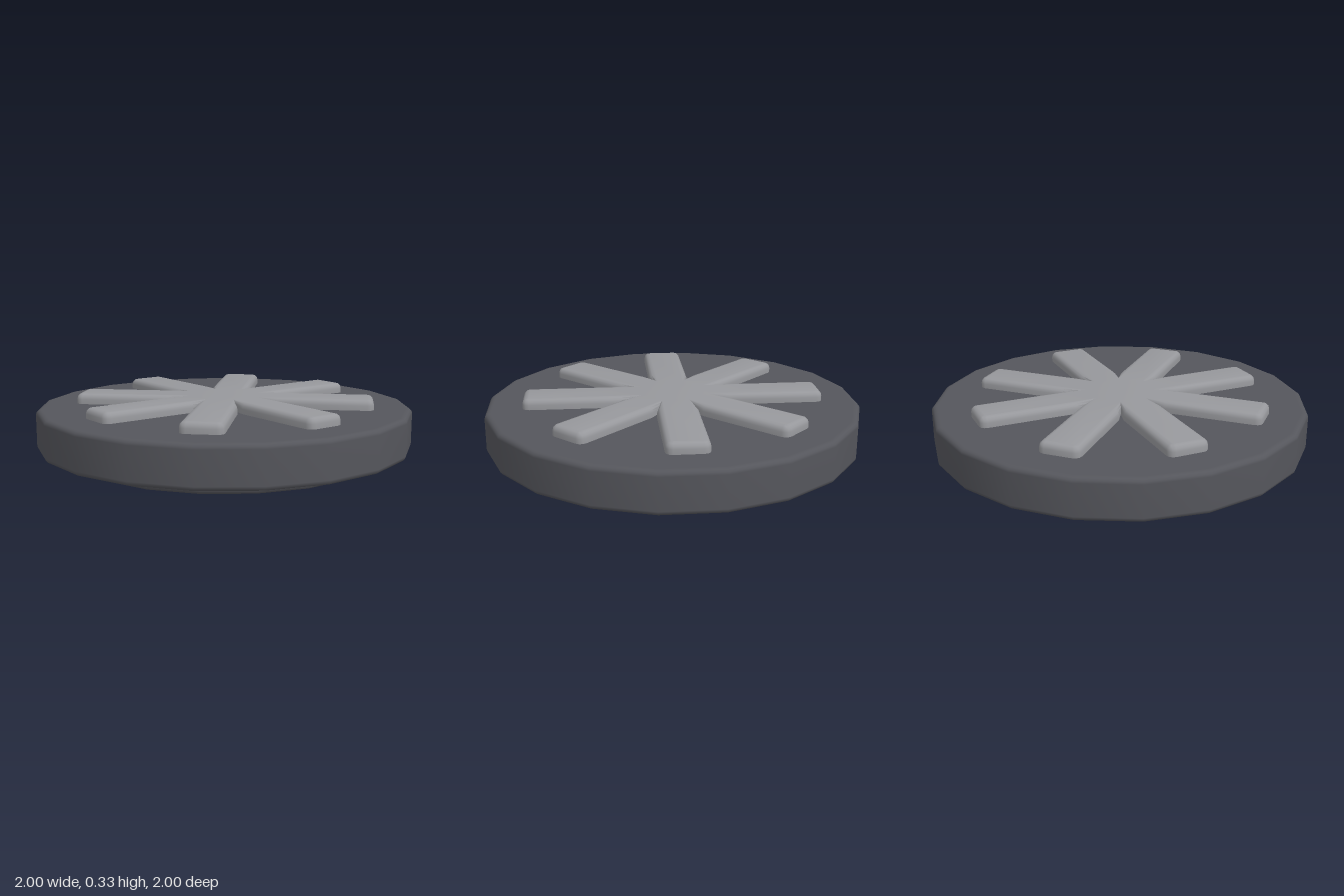
import * as THREE from 'three';
import { toCreasedNormals } from 'three/addons/utils/BufferGeometryUtils.js';

const SIDES = 20;
const dark = new THREE.MeshStandardMaterial({ color: 0x55565c });
const light = new THREE.MeshStandardMaterial({ color: 0x97989c });

// Disc with rounded rims, from y0 to y1
function disc(name, radius, y0, y1, r) {
  const pts = [new THREE.Vector2(0, y0), new THREE.Vector2(radius - r - 0.01, y0)];
  for (const [cy, start] of [[y0 + r, -Math.PI / 2], [y1 - r, 0]]) {
    for (let i = 0; i <= 3; i++) {
      const a = start + (i / 3) * Math.PI / 2;
      pts.push(new THREE.Vector2(radius - r + r * Math.cos(a), cy + r * Math.sin(a)));
    }
  }
  pts.push(new THREE.Vector2(radius - r - 0.01, y1), new THREE.Vector2(0, y1));
  const mesh = new THREE.Mesh(new THREE.LatheGeometry(pts, SIDES), dark);
  mesh.name = name;
  return mesh;
}

// Outline of eight equal arms with rounded ends, pinched where they meet
function starShape() {
  const w = 0.107, end = 0.798, r = 0.035, notch = 0.225;
  const pts = [];
  for (let k = 0; k < 8; k++) {
    const a = k * Math.PI / 4;
    const add = (u, v) => pts.push(new THREE.Vector2(
      u * Math.cos(a) - v * Math.sin(a), u * Math.sin(a) + v * Math.cos(a)));
    add(notch * Math.cos(Math.PI / 8), -notch * Math.sin(Math.PI / 8));
    add(0.29, -w);
    for (const s of [-1, 1]) {
      for (let i = 0; i <= 3; i++) {
        const t = (s < 0 ? i : 3 - i) / 3 * Math.PI / 2;
        add(end - r + r * Math.sin(t), s * (w - r + r * Math.cos(t)));
      }
    }
    add(0.29, w);
  }
  return new THREE.Shape(pts);
}

export function createModel() {
  const model = new THREE.Group();

  // Foot and main body
  model.add(disc('foot', 0.835, 0, 0.09, 0.025));
  model.add(disc('body', 1, 0.06, 0.275, 0.025));

  // Raised eight-armed relief, sunk slightly into the body
  const geo = new THREE.ExtrudeGeometry(starShape(), {
    depth: 0.06, bevelEnabled: true, bevelThickness: 0.03,
    bevelSize: 0.03, bevelOffset: -0.03, bevelSegments: 3,
  });
  geo.rotateX(-Math.PI / 2);
  geo.translate(0, 0.24, 0);
  const star = new THREE.Mesh(toCreasedNormals(geo, 0.7), light);
  star.name = 'starRelief';
  model.add(star);

  return model;
}
